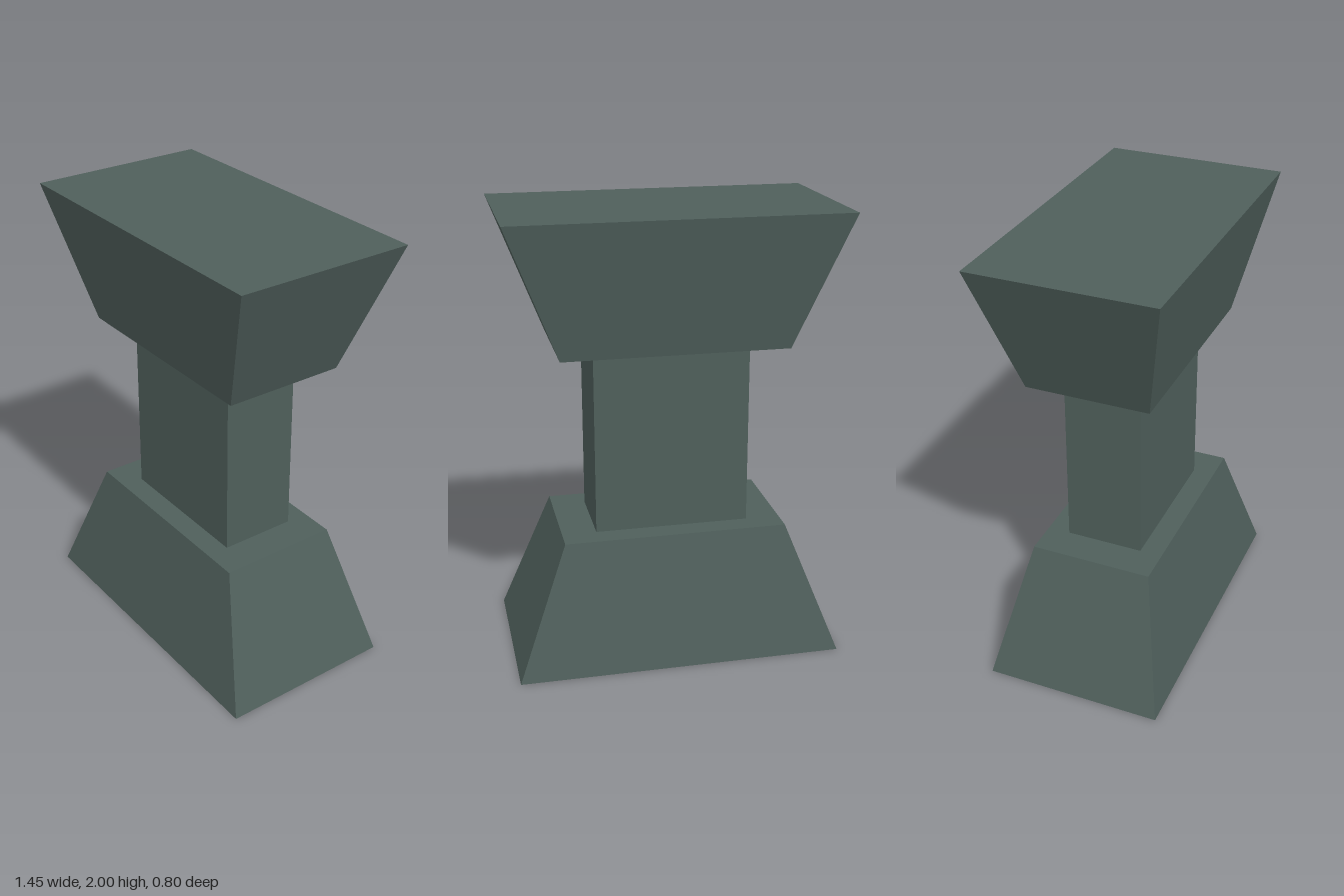
import * as THREE from 'three';

const WIDTH = 1.445, DEPTH = 0.8;            // outer ends
const NECK_WIDTH = 0.99, NECK_DEPTH = 0.545; // ends that meet the shaft
const BLOCK_HEIGHT = 0.59, HEIGHT = 2;

// Box whose top and bottom rectangles differ in size
function taperedBlock(bottomW, bottomD, topW, topD, height) {
  const geometry = new THREE.BoxGeometry(1, height, 1);
  const pos = geometry.attributes.position;
  for (let i = 0; i < pos.count; i++) {
    const top = pos.getY(i) > 0;
    pos.setX(i, pos.getX(i) * (top ? topW : bottomW));
    pos.setZ(i, pos.getZ(i) * (top ? topD : bottomD));
  }
  geometry.computeVertexNormals();
  return geometry;
}

export function createModel() {
  const group = new THREE.Group();
  group.name = 'pedestal';
  const stone = new THREE.MeshStandardMaterial({ color: 0x4f5f5b, flatShading: true });
  stone.name = 'dark green stone';

  const add = (name, geometry, y) => {
    const mesh = new THREE.Mesh(geometry, stone);
    mesh.name = name;
    mesh.position.y = y;
    group.add(mesh);
  };

  // Base narrows upward, the capital mirrors it
  add('base', taperedBlock(WIDTH, DEPTH, NECK_WIDTH, NECK_DEPTH, BLOCK_HEIGHT), BLOCK_HEIGHT / 2);
  add('capital', taperedBlock(NECK_WIDTH, NECK_DEPTH, WIDTH, DEPTH, BLOCK_HEIGHT), HEIGHT - BLOCK_HEIGHT / 2);

  // Straight shaft between them
  add('shaft', new THREE.BoxGeometry(0.685, HEIGHT - 2 * BLOCK_HEIGHT, 0.345), HEIGHT / 2);

  return group;
}
